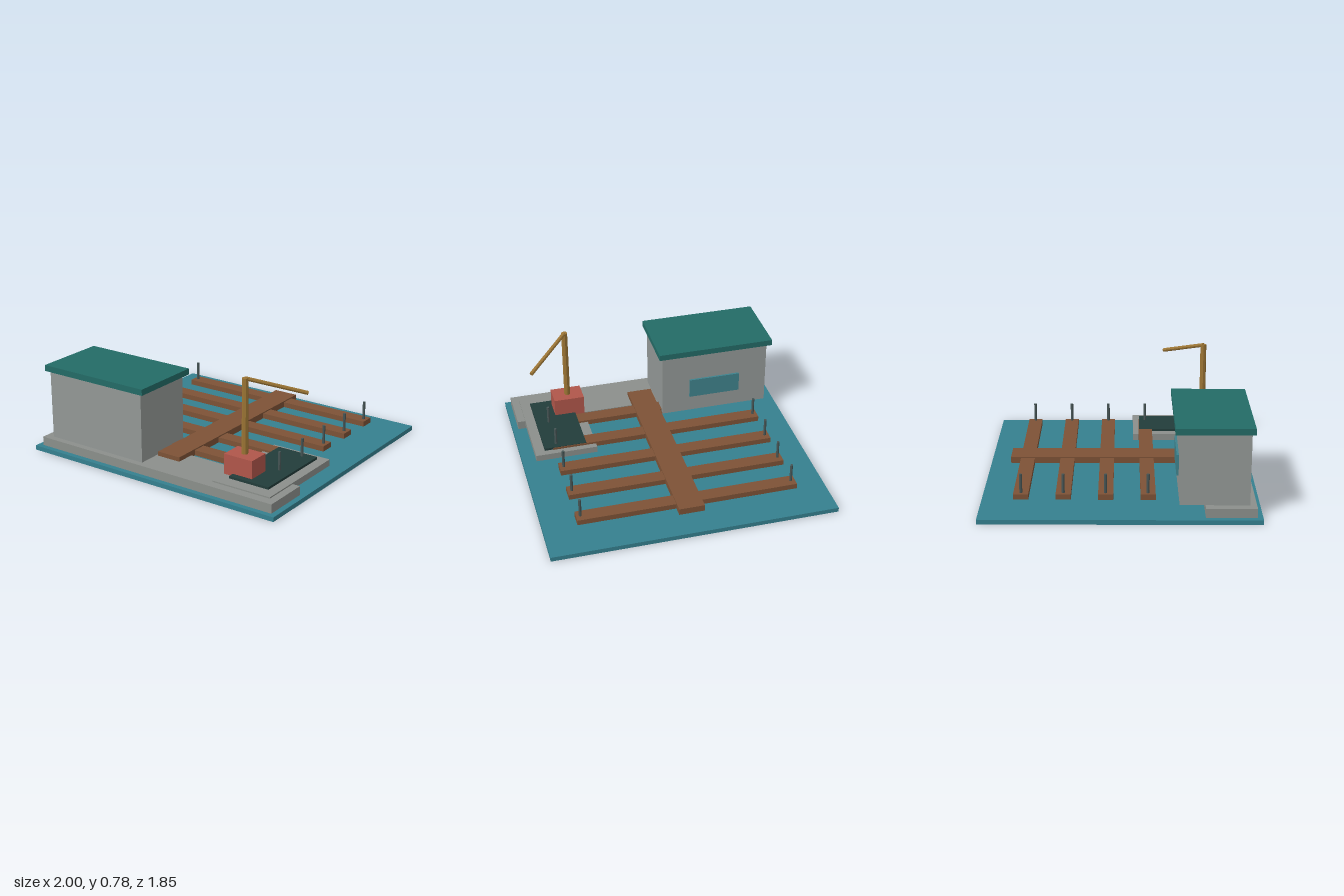
import * as THREE from 'three';

const material = (color) => new THREE.MeshStandardMaterial({ color, flatShading: true });

export function createModel() {
  const model = new THREE.Group();
  model.name = 'harbour';
  const water = material(0x35808f), stone = material(0x8b8f8b), wall = material(0x939896);
  const roofing = material(0x236b66), glass = material(0x3f828c), wood = material(0x7d5236);
  const red = material(0xb0564a), brass = material(0x9c7534), dark = material(0x223c3a);
  const iron = material(0x465555);

  // Box given by its extents on each axis
  function box(name, mat, [x0, x1], [y0, y1], [z0, z1]) {
    const mesh = new THREE.Mesh(new THREE.BoxGeometry(x1 - x0, y1 - y0, z1 - z0), mat);
    mesh.position.set((x0 + x1) / 2, (y0 + y1) / 2, (z0 + z1) / 2);
    mesh.name = name;
    model.add(mesh);
  }

  // Round bar between two points
  function bar(name, mat, from, to, radius, sides = 8) {
    const a = new THREE.Vector3(...from), b = new THREE.Vector3(...to);
    const direction = b.clone().sub(a);
    const mesh = new THREE.Mesh(new THREE.CylinderGeometry(radius, radius, direction.length(), sides), mat);
    mesh.position.copy(a).add(b).multiplyScalar(0.5);
    mesh.quaternion.setFromUnitVectors(new THREE.Vector3(0, 1, 0), direction.normalize());
    mesh.name = name;
    model.add(mesh);
  }

  // Water and quay
  box('water', water, [-1, 1], [0, 0.032], [-0.927, 0.927]);
  box('quay', stone, [-0.96, 0.96], [0.032, 0.095], [0.555, 0.89]);

  // Harbour office
  box('officeWalls', wall, [-0.9, -0.105], [0.095, 0.585], [0.387, 0.845]);
  box('officeRoof', roofing, [-0.93, -0.075], [0.585, 0.628], [0.353, 0.867]);
  box('officeWindow', glass, [-0.69, -0.31], [0.22, 0.365], [0.372, 0.392]);

  // Main pier with crossing finger docks and mooring posts
  box('mainPier', wood, [-0.09, 0.09], [0.08, 0.126], [-0.775, 0.69]);
  for (let i = 0; i < 5; i++) {
    const z = -0.655 + i * 0.28;
    box('fingerDock', wood, [-0.773, 0.773], [0.08, 0.118], [z - 0.05, z + 0.05]);
    for (const side of [-1, 1]) {
      bar('mooringPost', iron, [side * 0.743, 0.11, z], [side * 0.743, 0.25, z], 0.01);
    }
  }

  // Loading apron and slipway panel
  box('apron', stone, [0.46, 0.905], [0.058, 0.104], [0.093, 0.825]);
  box('slipway', dark, [0.53, 0.835], [0.104, 0.121], [0.14, 0.735]);

  // Crane
  box('craneBase', red, [0.46, 0.68], [0.104, 0.247], [0.535, 0.693]);
  bar('craneMast', brass, [0.57, 0.247, 0.613], [0.57, 0.77, 0.613], 0.022);
  bar('craneBoom', brass, [0.57, 0.767, 0.613], [0.867, 0.645, 0.33], 0.014);

  return model;
}
